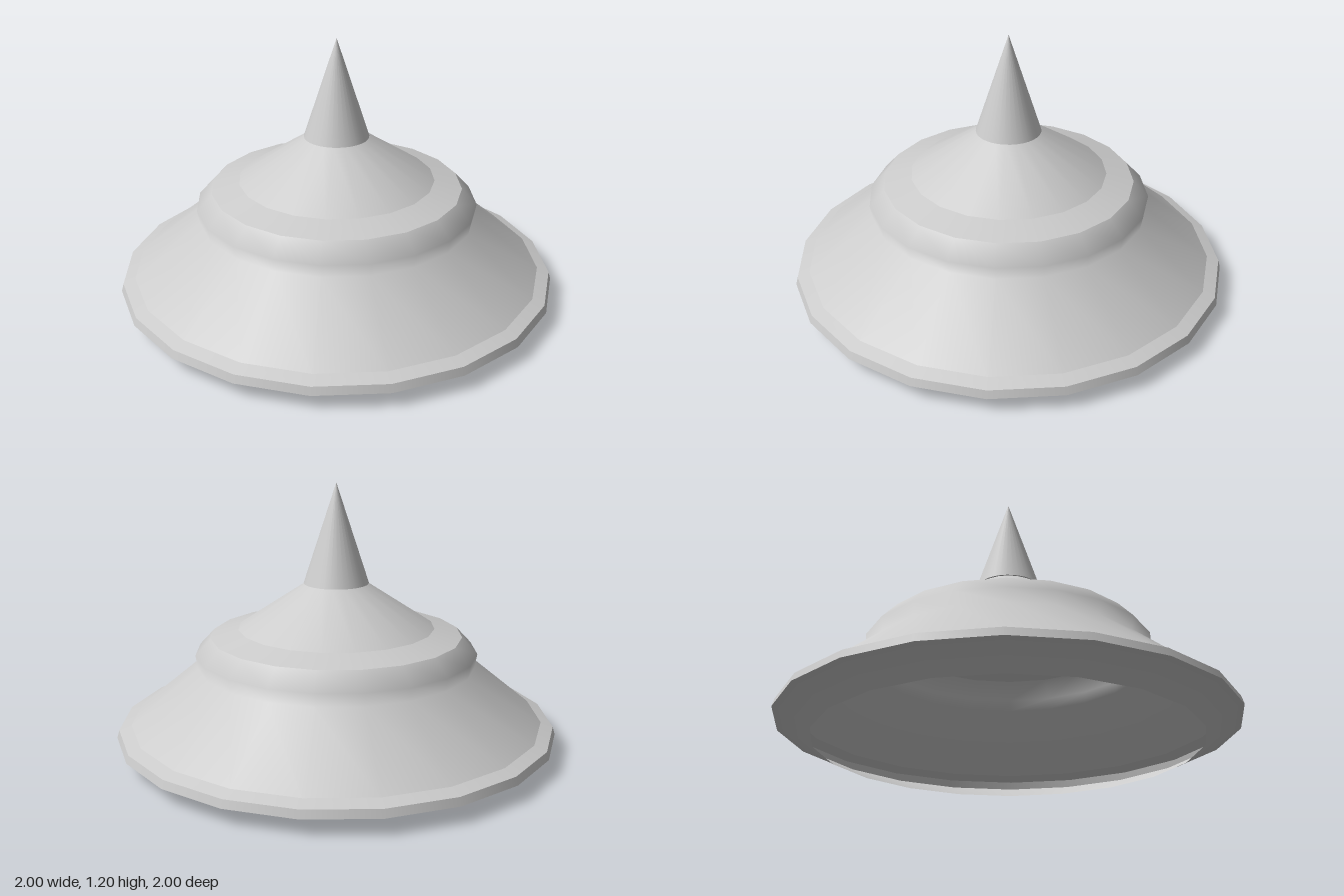
import * as THREE from 'three';

const SIDES = 20;
const material = new THREE.MeshStandardMaterial({ color: 0xcccccc, side: THREE.DoubleSide });

// Turned ring from [radius, height] pairs, listed bottom to top; separate rings keep creases sharp
function ring(name, profile, sides = SIDES) {
  const points = profile.map(([r, y]) => new THREE.Vector2(r, y));
  const mesh = new THREE.Mesh(new THREE.LatheGeometry(points, sides), material);
  mesh.name = name;
  return mesh;
}

export function createModel() {
  const model = new THREE.Group();
  model.name = 'tieredRoof';

  // Eave: sloping underside around the open bottom, thin edge, upper lip
  const eave = new THREE.Group();
  eave.name = 'eave';
  eave.add(
    ring('eaveUnderside', [[0.84, 0], [0.94, 0.06], [1, 0.075]]),
    ring('eaveEdge', [[1, 0.075], [0.99, 0.11]]),
    ring('eaveLip', [[0.99, 0.11], [0.935, 0.13]])
  );
  model.add(eave);

  // Lower slope flowing into the raised collar
  model.add(ring('lowerRoof', [[0.935, 0.13], [0.63, 0.38], [0.64, 0.44], [0.57, 0.515]]));

  // Shallow shoulder and upper slope
  model.add(ring('shoulder', [[0.57, 0.515], [0.445, 0.55]]));
  model.add(ring('upperRoof', [[0.445, 0.55], [0.14, 0.75]]));

  // Pointed spike, closed underneath
  const spike = new THREE.Mesh(new THREE.ConeGeometry(0.147, 0.45, 32), material);
  spike.name = 'spike';
  spike.position.y = 0.975;
  model.add(spike);

  return model;
}
